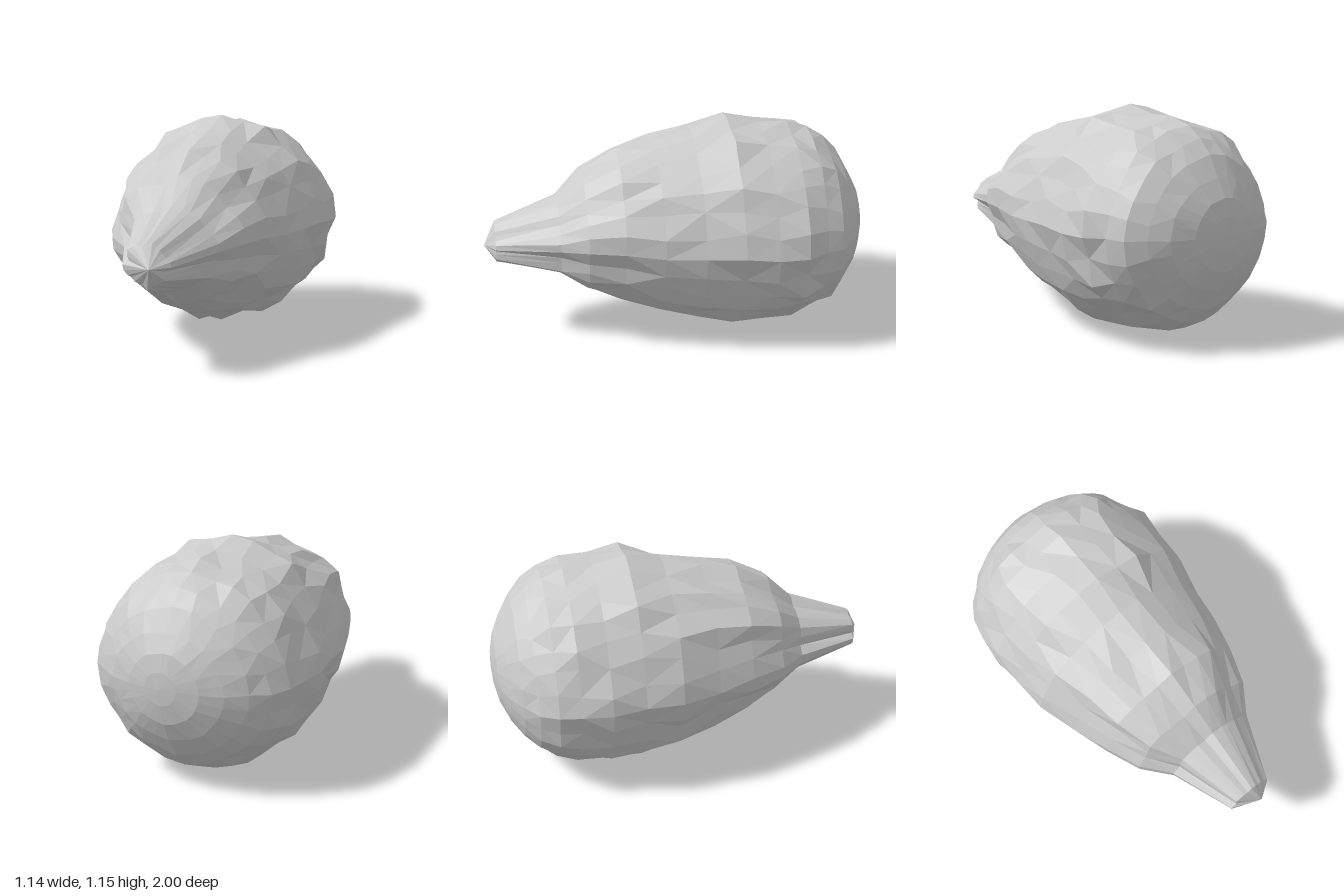
import * as THREE from 'three';

const SEG = 28;

// Cross-sections from back to front: z, left edge x, right edge x, bottom y, top y, roughness
const RINGS = [
  [-0.995, -0.09, 0.08, 0.49, 0.66, 0.05],
  [-0.975, -0.20, 0.18, 0.39, 0.75, 0.05],
  [-0.93, -0.31, 0.30, 0.29, 0.84, 0.05],
  [-0.87, -0.41, 0.39, 0.19, 0.95, 0.06],
  [-0.80, -0.49, 0.47, 0.11, 1.02, 0.07],
  [-0.71, -0.55, 0.51, 0.06, 1.08, 0.08],
  [-0.60, -0.575, 0.56, 0.03, 1.12, 0.09],
  [-0.45, -0.59, 0.565, 0.02, 1.12, 0.09],
  [-0.28, -0.58, 0.55, 0.00, 1.165, 0.10],
  [-0.09, -0.56, 0.51, 0.06, 1.10, 0.09],
  [0.11, -0.50, 0.47, 0.09, 1.06, 0.10],
  [0.30, -0.44, 0.42, 0.17, 1.02, 0.14],
  [0.48, -0.36, 0.36, 0.25, 0.92, 0.18],
  [0.615, -0.24, 0.27, 0.34, 0.79, 0.26],
  [0.94, -0.12, 0.14, 0.42, 0.67, 0.45],
];

// Well-mixed seeded random numbers in 0..1
function seeded(seed) {
  return () => {
    seed = (seed + 0x6d2b79f5) | 0;
    let t = Math.imul(seed ^ (seed >>> 15), 1 | seed);
    t = (t + Math.imul(t ^ (t >>> 7), 61 | t)) ^ t;
    return ((t ^ (t >>> 14)) >>> 0) / 4294967296;
  };
}

// Faceted, chipped teardrop lying along z: blunt round back, ridged narrow nose
function stoneGeometry() {
  const rand = seeded(4711);
  const chips = Array.from({ length: SEG }, rand); // depth carried from ring to ring
  const pos = [0, 0.575, -1];
  const index = [];
  RINGS.forEach(([z, x0, x1, y0, y1, rough]) => {
    const cx = (x0 + x1) / 2, cy = (y0 + y1) / 2;
    const keep = z > 0.55 ? 0.75 : 0.25; // nose ridges run lengthwise
    for (let i = 0; i < SEG; i++) {
      chips[i] = keep * chips[i] + (1 - keep) * rand();
      const onAxis = i % (SEG / 4) === 0; // stays near the full extent of the ring
      const k = 1 - rough * (onAxis ? 0.3 * chips[i] : chips[i] - 0.06);
      const a = ((i + (rand() - 0.5) * (onAxis ? 0.1 : 0.4)) / SEG) * Math.PI * 2;
      pos.push(cx + Math.cos(a) * k * (x1 - x0) / 2, cy + Math.sin(a) * k * (y1 - y0) / 2, z);
    }
  });
  pos.push(0.04, 0.54, 1);

  const last = RINGS.length - 1, tip = 1 + RINGS.length * SEG;
  const at = (r, i) => 1 + r * SEG + (i % SEG);
  const gap = (a, b) => Math.hypot(...[0, 1, 2].map((n) => pos[a * 3 + n] - pos[b * 3 + n]));
  for (let i = 0; i < SEG; i++) {
    index.push(0, at(0, i + 1), at(0, i));
    for (let r = 0; r < last; r++) {
      const a = at(r, i), b = at(r, i + 1), c = at(r + 1, i + 1), d = at(r + 1, i);
      // split each facet along its shorter diagonal
      if (gap(a, c) < gap(b, d)) index.push(a, b, c, a, c, d);
      else index.push(a, b, d, b, c, d);
    }
    index.push(at(last, i), at(last, i + 1), tip);
  }
  const g = new THREE.BufferGeometry();
  g.setAttribute('position', new THREE.Float32BufferAttribute(pos, 3));
  g.setIndex(index);
  const flat = g.toNonIndexed();
  flat.computeVertexNormals();
  return flat;
}

export function createModel() {
  const group = new THREE.Group();
  group.name = 'teardropRock';
  const stone = new THREE.Mesh(
    stoneGeometry(),
    new THREE.MeshStandardMaterial({ color: 0xcccccc, flatShading: true })
  );
  stone.name = 'rockBody';
  group.add(stone);
  return group;
}
